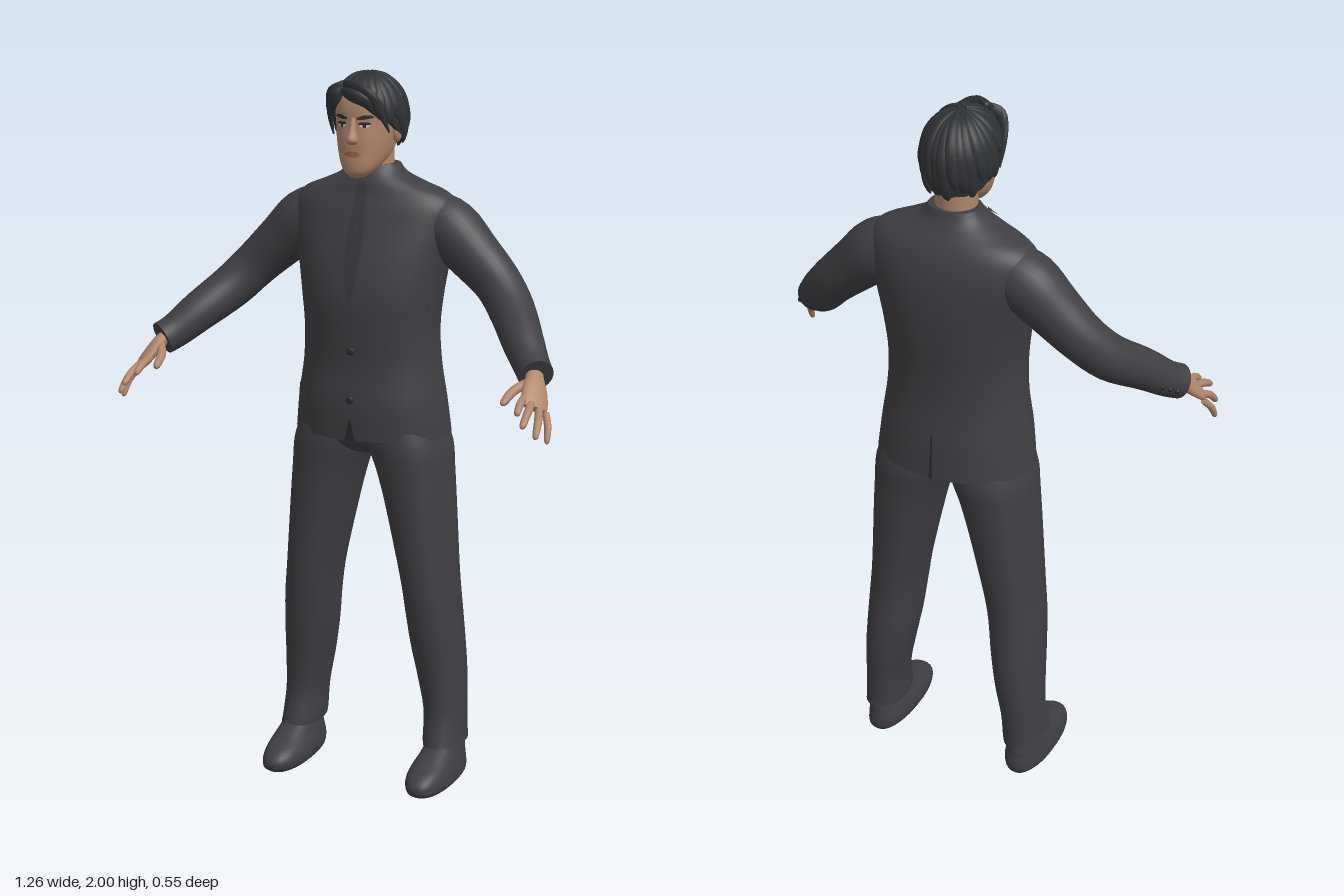
import * as THREE from 'three';

const paint = (name, color) => Object.assign(new THREE.MeshStandardMaterial({ color }), { name });
const V = (x, y, z) => new THREE.Vector3(x, y, z);

// Uniform Catmull-Rom resampling of rows of numbers
function smooth(rows, m = 4) {
  const out = [], at = i => rows[Math.min(Math.max(i, 0), rows.length - 1)];
  for (let i = 0; i < rows.length - 1; i++) {
    for (let k = 0; k < m; k++) {
      const t = k / m;
      out.push(rows[i].map((b, c) => {
        const a = at(i - 1)[c], d = at(i + 1)[c], e = at(i + 2)[c];
        return b + 0.5 * t * (d - a + t * (2 * a - 5 * b + 4 * d - e + t * (3 * (b - d) + e - a)));
      }));
    }
  }
  return [...out, at(rows.length - 1)];
}

function geometryOf(points, index) {
  const g = new THREE.BufferGeometry().setFromPoints(points);
  g.setIndex(index);
  g.computeVertexNormals();
  return g;
}

// Closed skin over rings of points, with separate flat end caps
function skin(rings) {
  const n = rings[0].length, points = rings.flat(), index = [];
  for (let i = 0; i < rings.length - 1; i++) {
    for (let j = 0; j < n; j++) {
      const a = i * n + j, b = i * n + (j + 1) % n;
      index.push(a, a + n, b, b, a + n, b + n);
    }
  }
  [rings[0], rings[rings.length - 1]].forEach((ring, end) => {
    const s = points.length, mid = V(0, 0, 0);
    ring.forEach(p => mid.addScaledVector(p, 1 / n));
    points.push(...ring, mid);
    for (let j = 0; j < n; j++) {
      const a = s + j, b = s + (j + 1) % n;
      index.push(s + n, ...(end ? [b, a] : [a, b]));
    }
  });
  return geometryOf(points, index);
}

// Horizontal sections: [y, xMin, xMax, zBack, zFront], p sets the squareness
function loft(rows, p = 2, n = 40) {
  const bend = v => Math.sign(v) * Math.abs(v) ** (2 / p);
  return skin(smooth(rows).map(([y, x0, x1, z0, z1]) => Array.from({ length: n }, (_, j) => {
    const a = j / n * Math.PI * 2;
    return V((x0 + x1) / 2 + (x1 - x0) / 2 * bend(Math.cos(a)), y, (z0 + z1) / 2 + (z1 - z0) / 2 * bend(Math.sin(a)));
  })));
}

// Tube along a path: [x, y, z, radius along side, radius across]
function sweep(path, side = V(0, 0, 1), n = 16, m = 4) {
  const rows = smooth(path, m), c = rows.map(r => V(...r.slice(0, 3)));
  return skin(rows.map((r, i) => {
    const t = c[Math.min(i + 1, c.length - 1)].clone().sub(c[Math.max(i - 1, 0)]).normalize();
    const u = side.clone().addScaledVector(t, -side.dot(t)).normalize();
    const v = u.clone().cross(t);
    return Array.from({ length: n }, (_, j) => {
      const a = j / n * Math.PI * 2;
      return c[i].clone().addScaledVector(u, r[3] * Math.cos(a)).addScaledVector(v, (r[4] ?? r[3]) * Math.sin(a));
    });
  }));
}

// Depth of a lofted body at (x, y), on its front or back
function depth(rows, p) {
  const table = smooth(rows);
  return (x, y, back = false) => {
    let i = 0;
    while (i < table.length - 2 && table[i + 1][0] < y) i++;
    const [a, b] = [table[i], table[i + 1]], k = (y - a[0]) / (b[0] - a[0]);
    const [, , w, z0, z1] = a.map((v, c) => v + (b[c] - v) * k);
    const h = (1 - Math.min(Math.abs(x / w), 0.98) ** p) ** (1 / p) * (z1 - z0) / 2;
    return (z0 + z1) / 2 + (back ? -h : h);
  };
}

// Thin panel lying on a body: rows [y, xStart, xEnd], rising in y
function panel(surface, rows, lift = 0.005, back = false) {
  const fine = [], cols = 8, points = [], index = [];
  rows.slice(1).forEach((r, i) => {
    for (let k = i ? 1 : 0; k <= 5; k++) fine.push(rows[i].map((v, c) => v + (r[c] - v) * k / 5));
  });
  fine.forEach(([y, x0, x1], r) => {
    for (let c = 0; c <= cols; c++) {
      const x = x0 + (x1 - x0) * c / cols;
      points.push(V(x, y, surface(x, y, back) + (back ? -lift : lift)));
      if (r && c) {
        const d = points.length - 1, b = d - cols - 1;
        index.push(b - 1, b, d - 1, b, d, d - 1);
      }
    }
  });
  return geometryOf(points, index);
}

function mirrored(g) {
  const m = g.clone().scale(-1, 1, 1), ix = m.index.array;
  for (let i = 0; i < ix.length; i += 3) [ix[i], ix[i + 1]] = [ix[i + 1], ix[i]];
  return m;
}

export function createModel() {
  const model = new THREE.Group();
  const suit = paint('charcoal suit', 0x3f3e43), tieCloth = paint('dark tie', 0x38373c);
  const trim = paint('dark trim', 0x29282c), skinTone = paint('skin', 0xb0866a);
  const hairTone = paint('black hair', 0x2f3235), lipTone = paint('lips', 0x98664f), white = paint('eye white', 0xcfc5bb);
  const add = (name, g, mat) => {
    const mesh = new THREE.Mesh(g, mat);
    mesh.name = name;
    model.add(mesh);
    return mesh;
  };
  const pair = (name, g, mat) => {
    add(name + 'Left', g, mat);
    add(name + 'Right', mirrored(g), mat);
  };
  const ball = (x, y, z, rx, ry, rz) => new THREE.SphereGeometry(1, 20, 14).scale(rx, ry, rz).translate(x, y, z);

  // Jacket body
  const body = [
    [1.0, 0.222, -0.27, 0.05], [1.1, 0.21, -0.262, 0.055], [1.2, 0.195, -0.25, 0.047], [1.3, 0.19, -0.25, 0.053],
    [1.4, 0.2, -0.258, 0.055], [1.5, 0.218, -0.26, 0.035], [1.58, 0.235, -0.253, 0.008], [1.635, 0.235, -0.238, -0.012],
    [1.67, 0.205, -0.22, -0.028], [1.695, 0.145, -0.2, -0.035], [1.72, 0.092, -0.183, -0.044], [1.745, 0.07, -0.172, -0.058],
  ].map(([y, w, b, f]) => [y, -w, w, b, f]);
  add('jacket', loft(body, 2.2, 56), suit);
  const chest = depth(body, 2.2);

  // Lapels, collars, pockets, tie, buttons and vents
  pair('lapel', panel(chest, [[1.37, 0, 0.012], [1.45, 0.018, 0.065], [1.53, 0.036, 0.108], [1.605, 0.05, 0.13], [1.625, 0.053, 0.1]], 0.008), suit);
  pair('jacketCollar', panel(chest, [[1.625, 0.053, 0.122], [1.65, 0.056, 0.122], [1.69, 0.06, 0.1], [1.73, 0.058, 0.078]], 0.008), suit);
  pair('shirtCollar', panel(chest, [[1.645, 0.028, 0.034], [1.69, 0.012, 0.058], [1.735, 0.012, 0.062]], 0.009), suit);
  pair('pocketFlap', panel(chest, [[1.1, 0.09, 0.185], [1.135, 0.09, 0.185]], 0.007), suit);
  add('tie', panel(chest, [[1.37, -0.008, 0.008], [1.55, -0.026, 0.026], [1.65, -0.014, 0.014], [1.66, -0.016, 0.016], [1.7, -0.022, 0.022]], 0.006), tieCloth);
  add('frontVent', panel(chest, [[1.0, -0.018, 0.014], [1.06, -0.001, 0.003]], 0.003), trim);
  add('backVent', panel(chest, [[1.0, 0.005, -0.005], [1.13, 0.002, -0.002]], 0.003, true), trim);
  [1.115, 1.25].forEach(y => add('jacketButton', ball(0, y, chest(0, y) + 0.003, 0.011, 0.011, 0.005), trim));

  // Sleeves with cuffs
  pair('sleeve', sweep([
    [0.15, 1.61, -0.13, 0.07], [0.215, 1.573, -0.13, 0.083], [0.285, 1.51, -0.125, 0.074], [0.36, 1.44, -0.113, 0.065],
    [0.42, 1.375, -0.07, 0.062], [0.48, 1.315, 0.01, 0.056], [0.525, 1.268, 0.065, 0.049], [0.552, 1.247, 0.1, 0.047],
  ], V(0, 0, 1), 28), suit);
  for (let i = 0; i < 3; i++) pair('cuffButton', ball(0.567 - i * 0.014, 1.247 + i * 0.013, 0.046 - i * 0.018, 0.007, 0.007, 0.007), trim);

  // Hands: palm, four fingers and thumb
  const across = V(0.76, -0.6, -0.25);
  pair('palm', sweep([
    [0.54, 1.255, 0.085, 0.026, 0.02], [0.553, 1.24, 0.112, 0.027, 0.019], [0.563, 1.218, 0.14, 0.036, 0.018],
    [0.574, 1.192, 0.17, 0.039, 0.015], [0.579, 1.18, 0.184, 0.034, 0.01],
  ], across), skinTone);
  [
    [[0.55, 1.208, 0.178], [0.552, 1.196, 0.218], [0.555, 1.175, 0.25], 0.0105],
    [[0.569, 1.195, 0.178], [0.576, 1.178, 0.228], [0.579, 1.15, 0.276], 0.011],
    [[0.587, 1.178, 0.171], [0.6, 1.155, 0.213], [0.606, 1.118, 0.25], 0.0105],
    [[0.602, 1.165, 0.16], [0.616, 1.136, 0.183], [0.622, 1.097, 0.205], 0.0095],
    [[0.542, 1.235, 0.128], [0.516, 1.218, 0.172], [0.505, 1.193, 0.226], 0.0125],
  ].forEach(([a, b, c, r], i) => {
    const near = c.map((v, k) => v + (b[k] - v) * 0.2);
    pair(i < 4 ? 'finger' : 'thumb', sweep([[...a, r], [...b, r], [...near, r * 0.8], [...c, r * 0.25]], across, 12), skinTone);
  });

  // Trousers and shoes
  add('trouserSeat', loft([[0.95, -0.05, 0.05, -0.19, -0.02], [0.985, -0.17, 0.17, -0.24, 0.02], [1.06, -0.2, 0.2, -0.24, 0.03]], 2.2), suit);
  pair('trouserLeg', loft([
    [0.1, 0.168, 0.279, -0.213, -0.02], [0.12, 0.165, 0.277, -0.212, -0.026], [0.2, 0.161, 0.272, -0.216, -0.042],
    [0.3, 0.143, 0.27, -0.225, -0.032], [0.4, 0.126, 0.266, -0.222, -0.014], [0.5, 0.114, 0.26, -0.216, 0], [0.6, 0.1, 0.25, -0.221, 0.01],
    [0.8, 0.055, 0.237, -0.236, 0.02], [0.9, 0.027, 0.23, -0.243, 0.025], [0.97, 0.002, 0.224, -0.248, 0.03], [1.04, 0, 0.2, -0.235, 0.025],
  ], 2.2), suit);
  pair('shoe', loft([
    [0, 0.172, 0.275, -0.195, 0.092], [0.012, 0.163, 0.285, -0.203, 0.108], [0.035, 0.16, 0.285, -0.204, 0.108],
    [0.058, 0.165, 0.281, -0.2, 0.083], [0.08, 0.174, 0.275, -0.198, 0.03], [0.115, 0.182, 0.265, -0.19, -0.045],
  ], 2.3), suit);

  // Neck and head
  add('neck', loft([[1.68, -0.066, 0.066, -0.17, -0.045], [1.74, -0.056, 0.056, -0.163, -0.05], [1.82, -0.056, 0.056, -0.17, -0.04]]), skinTone);
  const skull = [
    [1.718, 0.018, -0.03, 0.02], [1.73, 0.036, -0.055, 0.032], [1.75, 0.052, -0.09, 0.036], [1.78, 0.066, -0.14, 0.036], [1.82, 0.075, -0.17, 0.037],
    [1.86, 0.08, -0.185, 0.034], [1.9, 0.083, -0.19, 0.036], [1.94, 0.076, -0.175, 0.025], [1.97, 0.05, -0.14, -0.01],
  ].map(([y, w, b, f]) => [y, -w, w, b, f]);
  add('head', loft(skull, 2.3), skinTone);
  const face = depth(skull, 2.3);
  add('nose', loft([[1.808, -0.01, 0.01, 0.02, 0.044], [1.82, -0.017, 0.017, 0.015, 0.058], [1.845, -0.011, 0.011, 0.015, 0.049], [1.88, -0.009, 0.009, 0.015, 0.037]], 2, 20), skinTone);
  add('mouth', panel(face, [[1.774, -0.012, 0.012], [1.782, -0.025, 0.025], [1.79, -0.012, 0.012]], 0.003), lipTone);
  pair('ear', ball(0.08, 1.838, -0.08, 0.012, 0.032, 0.021), skinTone);
  pair('eyeWhite', panel(face, [[1.853, 0.027, 0.037], [1.859, 0.018, 0.047], [1.865, 0.024, 0.041]], 0.002), white);
  pair('iris', panel(face, [[1.853, 0.029, 0.036], [1.866, 0.027, 0.038]], 0.003), trim);
  pair('eyelid', panel(face, [[1.862, 0.016, 0.05], [1.868, 0.022, 0.044]], 0.004), trim);
  pair('eyebrow', panel(face, [[1.875, 0.014, 0.03], [1.88, 0.014, 0.056], [1.887, 0.032, 0.05]], 0.004), hairTone);

  // Hair: a cap cut along the hairline, covered with tapered locks
  const onHair = (az, t, grow = 1) => {
    const c = Math.cos(az), polar = t * (1.95 - 0.625 * c - 0.275 * c * c);
    const s = (polar > Math.PI / 2 ? 0.55 + 0.45 * Math.sin(polar) : Math.sin(polar)) * grow;
    return V(0.094 * s * Math.sin(az), 1.872 + 0.118 * grow * Math.cos(polar), -0.077 + 0.119 * s * c);
  };
  add('hairCap', skin(Array.from({ length: 17 }, (_, i) => Array.from({ length: 72 }, (_, j) => {
    const az = Math.PI / 2 - j / 72 * Math.PI * 2, t = 1 - i / 16.2;
    return onHair(az, t, 1 + 0.015 * t * Math.sin(az * 14 + t * 5));
  }))), hairTone);
  for (let i = 0; i < 26; i++) {
    const az = i / 26 * Math.PI * 2, end = [0.96, 1.05, 0.88][i % 3], lift = [1.0, 1.03, 1.015][(i * 2) % 3];
    const path = [[0.08, 0.004], [0.3, 0.011], [0.55, 0.016], [0.8, 0.016], [0.94, 0.011], [1, 0.002]].map(([t, r]) => {
      const p = onHair(az + 0.3 * t - 0.15, t * end, lift);
      return [p.x, p.y, p.z, r, r * 0.55];
    });
    add('hairLock', sweep(path, V(Math.cos(az), 0, -Math.sin(az)), 10), hairTone);
  }
  // Fringe swept from the parting to both temples
  [
    [[-0.045, 1.965, 0.01], [0.01, 1.96, 0.035], [0.062, 1.925, 0.033], [0.088, 1.84, -0.008]],
    [[-0.04, 1.95, 0.025], [0.0, 1.94, 0.043], [0.045, 1.92, 0.038], [0.072, 1.875, 0.014]],
    [[-0.02, 1.97, 0.012], [-0.058, 1.945, 0.025], [-0.08, 1.895, 0.004], [-0.085, 1.825, -0.03]],
    [[-0.03, 1.955, 0.025], [-0.05, 1.935, 0.033], [-0.066, 1.91, 0.022], [-0.076, 1.875, 0.006]],
  ].forEach(p => add('fringeLock', sweep(p.map((q, i) => [...q, ...[[0.008, 0.006], [0.018, 0.01], [0.016, 0.009], [0.002, 0.002]][i]]), V(0, 1, 0.2), 12, 6), hairTone));

  return model;
}
